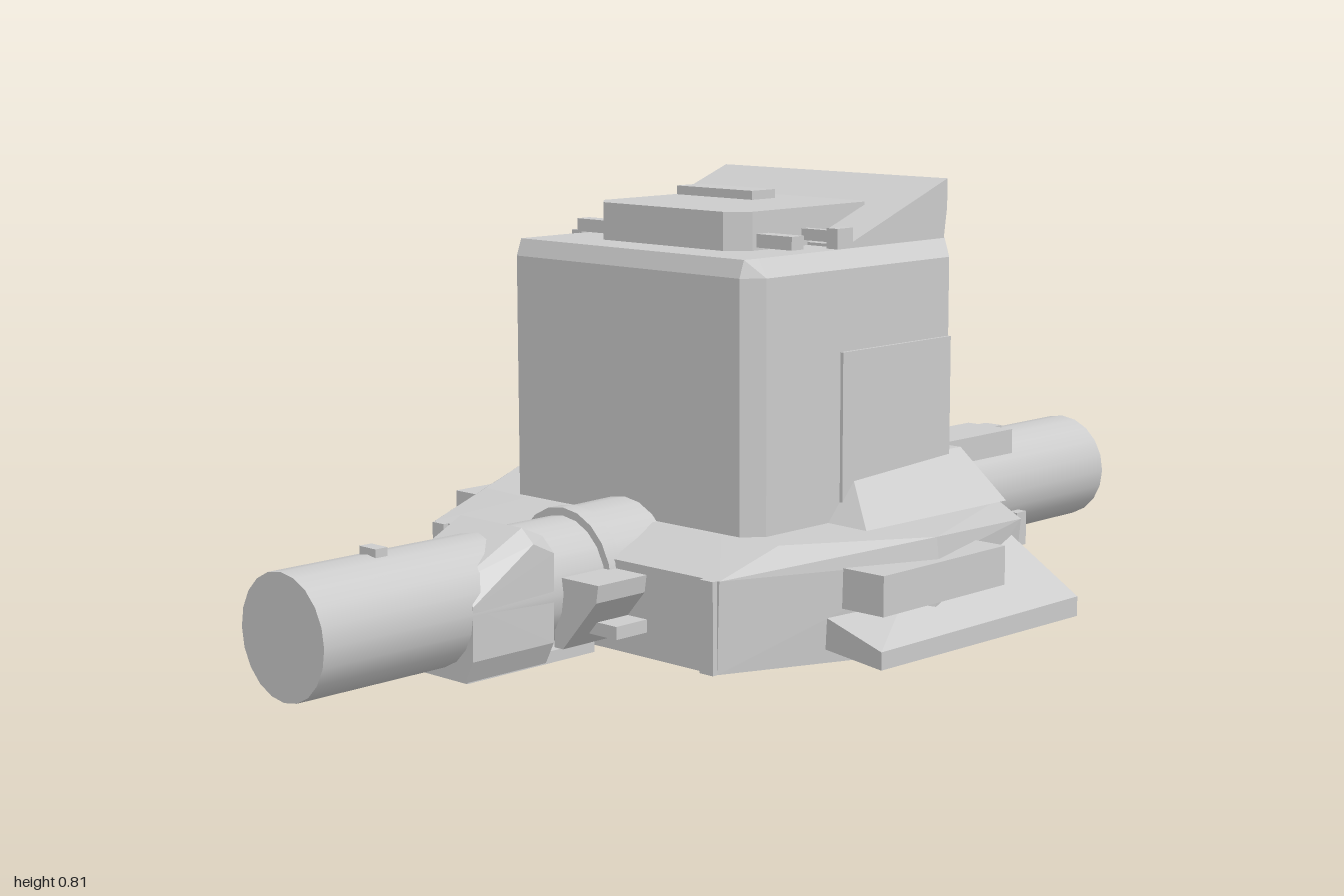
import * as THREE from 'three';
import { ConvexGeometry } from 'three/addons/geometries/ConvexGeometry.js';

const material = new THREE.MeshStandardMaterial({ color: 0xcccccc, flatShading: true });
const smooth = new THREE.MeshStandardMaterial({ color: 0xcccccc });

export function createModel() {
  const root = new THREE.Group();
  const add = (name, geometry, mat = material) => {
    const mesh = new THREE.Mesh(geometry, mat);
    mesh.name = name;
    root.add(mesh);
    return mesh;
  };
  // box from its limits on each axis
  const box = (name, x0, x1, y0, y1, z0, z1) => add(name,
    new THREE.BoxGeometry(x1 - x0, y1 - y0, z1 - z0)
      .translate((x0 + x1) / 2, (y0 + y1) / 2, (z0 + z1) / 2));
  const hull = (name, points) => add(name, new ConvexGeometry(points.map(p => new THREE.Vector3(...p))));
  // half outline [x, z] mirrored into a full level at height y
  const level = (y, half) => half.flatMap(([x, z]) => [[x, y, z], [-x, y, z]]);
  // drum along z from z0 (radius r0) to z1 (radius r1)
  const drum = (name, z0, z1, r0, r1) => add(name,
    new THREE.CylinderGeometry(r1, r0, z1 - z0, 20).rotateX(Math.PI / 2)
      .translate(0, 0.168, (z0 + z1) / 2), smooth);

  // faceted base with a sloped upper rim
  hull('base', [
    ...level(0.055, [[0.345, 0.4], [0.5, 0.04], [0.39, -0.32], [0.31, -0.4]]),
    ...level(0.21, [[0.35, 0.4], [0.51, 0.04], [0.4, -0.33], [0.31, -0.4]]),
    ...level(0.25, [[0.24, 0.28], [0.36, 0.27], [0.505, 0.04], [0.385, -0.28], [0.27, -0.33]]),
  ]);
  box('bottomPlate', -0.27, 0.27, 0.045, 0.06, -0.33, 0.3);
  box('frontSkid', -0.21, 0.11, 0.012, 0.05, 0.065, 0.22);
  box('middleSkid', -0.1, 0.25, 0, 0.05, -0.12, 0.02);
  box('rearSkid', -0.1, 0.06, 0.025, 0.05, -0.32, -0.2);

  // side flares, steps and fins
  for (const s of [1, -1]) {
    hull('sideFlare', [
      [s * 0.555, 0.1, 0.24], [s * 0.555, 0.07, 0.24], [s * 0.555, 0.1, -0.29], [s * 0.555, 0.065, -0.29],
      [s * 0.39, 0.14, 0.22], [s * 0.39, 0.08, 0.22],
      [s * 0.28, 0.27, -0.285], [s * 0.3, 0.065, -0.285],
    ]);
    box('sideStep', s > 0 ? 0.4 : -0.525, s > 0 ? 0.525 : -0.4, 0.145, 0.213, -0.12, 0.2);
    hull('sideFin', [
      [s * 0.28, 0.335, 0], [s * 0.3, 0.335, -0.28], [s * 0.26, 0.335, -0.28],
      [s * 0.39, 0.25, 0.085], [s * 0.4, 0.25, -0.285], [s * 0.26, 0.24, 0.085], [s * 0.26, 0.24, -0.285],
    ]);
    box('frontRib', s * 0.33 - 0.015, s * 0.33 + 0.015, 0.055, 0.21, 0.38, 0.41);
  }

  // tower with bevelled corners on its left side
  const outline = [[-0.27, 0.268], [0.27, 0.268], [0.3, 0.235], [0.3, -0.24], [0.27, -0.275], [-0.27, -0.275]];
  hull('tower', [
    ...outline.map(([x, z]) => [x, 0.24, z]),
    ...outline.map(([x, z]) => [x, 0.68, z]),
    ...outline.map(([x, z]) => [Math.min(x, 0.272), 0.71, z * 0.96]),
  ]);
  box('towerPanel', 0.29, 0.306, 0.25, 0.54, -0.24, 0.05);
  box('rearColumn', -0.035, 0.035, 0.24, 0.632, -0.33, -0.26);

  // roof: rear wedge, hatch block and small fittings
  hull('roofWedge', [0.27, -0.27].flatMap(x =>
    [[x, 0.7, 0], [x, 0.715, 0], [x, 0.815, -0.27], [x, 0.765, -0.27], [x, 0.7, -0.26]]));
  box('rearLip', -0.25, 0.25, 0.74, 0.765, -0.282, -0.25);
  hull('hatch', [0.7, 0.776].flatMap(y => level(y, [[0.145, 0.175], [0.18, 0.14], [0.18, -0.15], [0.145, -0.185]])));
  box('hatchPlate', -0.175, 0.012, 0.77, 0.792, -0.1, -0.04);
  for (const s of [1, -1]) {
    const fit = (x0, x1, ...r) => box('roofFitting', Math.min(s * x0, s * x1), Math.max(s * x0, s * x1), ...r);
    fit(0.17, 0.26, 0.715, 0.738, 0.1, 0.13);
    fit(0.17, 0.26, 0.72, 0.74, 0, 0.016);
    fit(0.245, 0.27, 0.695, 0.745, -0.015, 0.025);
  }

  // stowage on the right side of the tower
  box('sideLocker', -0.305, -0.265, 0.56, 0.66, -0.2, 0.08);
  box('sideSlatUpper', -0.305, -0.265, 0.47, 0.5, -0.18, 0.12);
  box('sideSlatLower', -0.302, -0.265, 0.39, 0.425, -0.14, 0.1);
  for (const z of [-0.13, 0, 0.1]) box('sideRail', -0.29, -0.265, 0.35, 0.715, z - 0.015, z + 0.015);

  // long round barrels front and rear
  drum('barrel', -1, 1, 0.103, 0.103);
  drum('barrelNeck', 0.27, 0.39, 0.115, 0.113);
  drum('barrelCollar', 0.385, 0.415, 0.117, 0.117);
  for (const z of [0.82, -0.755]) box('barrelStud', -0.02, 0.02, 0.25, 0.282, z - 0.012, z + 0.012);

  // faceted clamp on the front barrel
  const clamp = (z, top, shoulder) => [
    ...level(0.052, [[0.08, z]]), ...level(0.09, [[0.1, z]]),
    ...level(shoulder, [[0.103, z]]), ...level(top, [[0.075, z]])];
  hull('frontClamp', [...clamp(0.53, 0.265, 0.24), ...clamp(0.575, 0.285, 0.262), ...clamp(0.705, 0.22, 0.18)]);
  box('clampSole', -0.08, 0.08, 0.05, 0.07, 0.42, 0.7);

  // side lugs beside both barrels
  for (const s of [1, -1]) {
    for (const e of [1, -1]) {
      hull('barrelLug', [0.39, 0.51].flatMap(z => [
        [s * 0.08, 0.195, e * z], [s * 0.185, 0.195, e * z], [s * 0.18, 0.165, e * z],
        [s * 0.1, 0.075, e * z], [s * 0.08, 0.075, e * z]]));
      box('lugFoot', s * 0.14 - 0.045, s * 0.14 + 0.045, 0.098, 0.12, e * 0.43 - 0.04, e * 0.43 + 0.04);
    }
    box('rearBracket', s * 0.095 - 0.018, s * 0.095 + 0.018, 0.058, 0.125, -0.73, -0.7);
  }

  // rear barrel housing
  box('rearBarrelCover', -0.035, 0.075, 0.2, 0.285, -0.73, -0.41);
  hull('rearMount', [
    ...level(0.055, [[0.2, -0.38], [0.1, -0.46]]),
    ...level(0.2, [[0.2, -0.38], [0.1, -0.44]]),
    ...level(0.255, [[0.2, -0.28], [0.1, -0.4]]),
  ]);
  return root;
}
